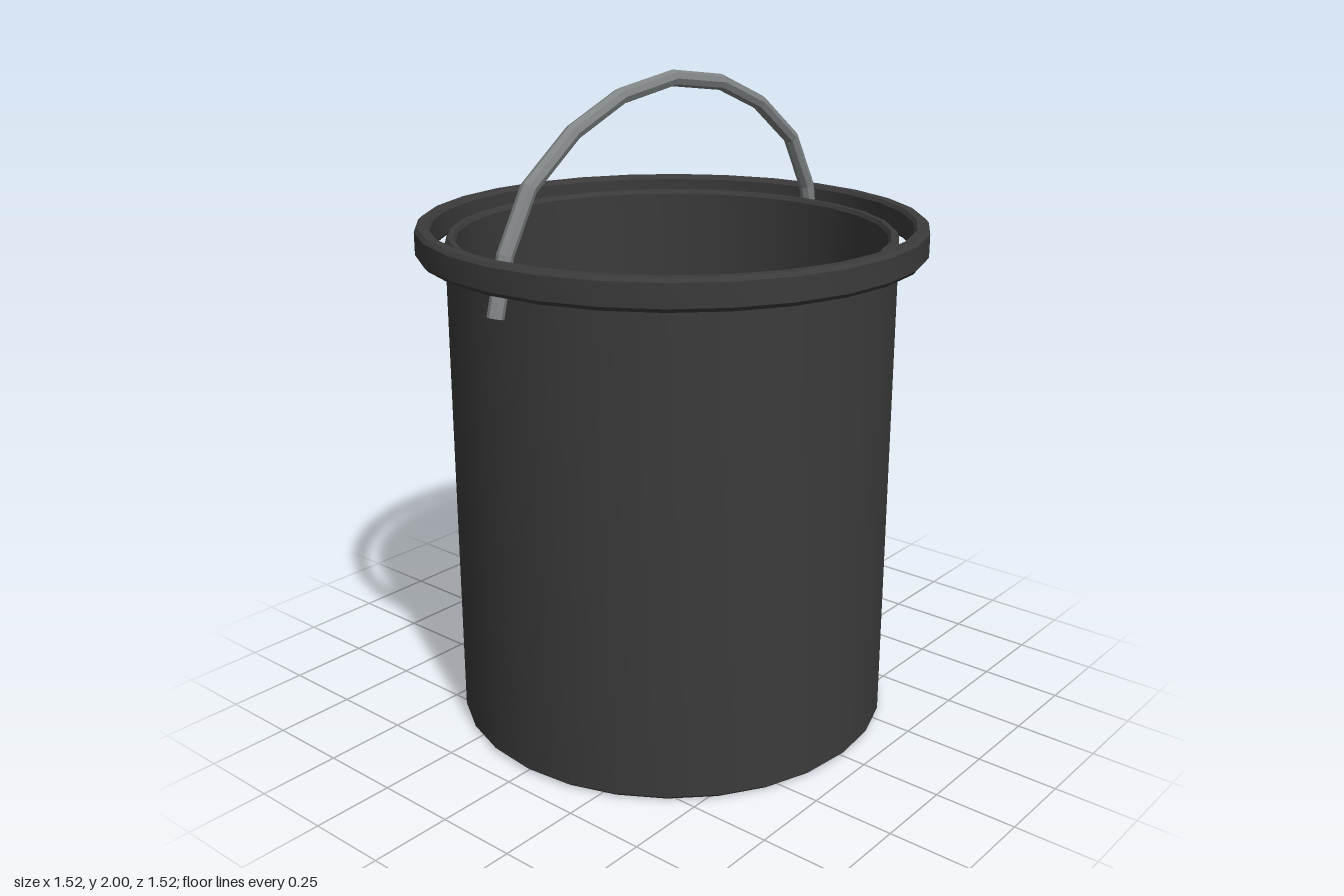
import * as THREE from 'three';
import { toCreasedNormals } from 'three/addons/utils/BufferGeometryUtils.js';

const SIDES = 28;

const plastic = new THREE.MeshStandardMaterial({ color: 0x3b3b3b });
plastic.name = 'darkPlastic';
const metal = new THREE.MeshStandardMaterial({ color: 0x808485, flatShading: true });
metal.name = 'greyMetal';

function addMesh(group, name, geometry, material) {
  const mesh = new THREE.Mesh(geometry, material);
  mesh.name = name;
  group.add(mesh);
  return mesh;
}

function turned(profile) {
  const points = profile.map(([r, y]) => new THREE.Vector2(r, y));
  return toCreasedNormals(new THREE.LatheGeometry(points, SIDES), 0.5);
}

// Straight-sided path through the given points
class Polyline extends THREE.Curve {
  constructor(points) {
    super();
    this.points = points;
  }
  getPoint(t, target = new THREE.Vector3()) {
    const f = t * (this.points.length - 1);
    const i = Math.min(Math.floor(f), this.points.length - 2);
    return target.lerpVectors(this.points[i], this.points[i + 1], f - i);
  }
  // Keep the rings exactly on the corners
  getPointAt(u, target) { return this.getPoint(u, target); }
  getTangentAt(u, target) { return this.getTangent(u, target); }
}

export function createModel() {
  const model = new THREE.Group();
  model.name = 'bucket';

  // Hollow body: bevelled base, outer wall, rounded lip, inner wall, floor
  addMesh(model, 'body', turned([
    [0, 0], [0.662, 0], [0.675, 0.012],
    [0.675, 1.518], [0.667, 1.53], [0.651, 1.53], [0.643, 1.518],
    [0.643, 0.035], [0, 0.035],
  ]), plastic);

  // Free ring around the lip
  addMesh(model, 'rimRing', turned([
    [0.725, 1.475], [0.752, 1.475], [0.762, 1.487],
    [0.762, 1.555], [0.752, 1.566], [0.725, 1.566],
    [0.716, 1.555], [0.716, 1.487], [0.725, 1.475],
  ]), plastic);

  // Arched handle, mirrored from one half
  const half = [[0.733, 1.408], [0.69, 1.57], [0.595, 1.737], [0.42, 1.866], [0.225, 1.945]];
  const path = [
    ...half.map(([x, y]) => new THREE.Vector3(-x, y, 0)),
    new THREE.Vector3(0, 1.976, 0),
    ...half.map(([x, y]) => new THREE.Vector3(x, y, 0)).reverse(),
  ];
  const handle = new THREE.Group();
  handle.name = 'handle';
  model.add(handle);
  addMesh(handle, 'handleBar',
    new THREE.TubeGeometry(new Polyline(path), path.length - 1, 0.024, 8), metal);

  // Caps closing the handle ends
  const last = path.length - 1;
  for (const [end, next, name] of [[0, 1, 'rightHandleCap'], [last, last - 1, 'leftHandleCap']]) {
    const cap = addMesh(handle, name, new THREE.CircleGeometry(0.024, 8), metal);
    cap.position.copy(path[end]);
    const outward = path[end].clone().sub(path[next]).normalize();
    cap.quaternion.setFromUnitVectors(new THREE.Vector3(0, 0, 1), outward);
  }

  return model;
}
